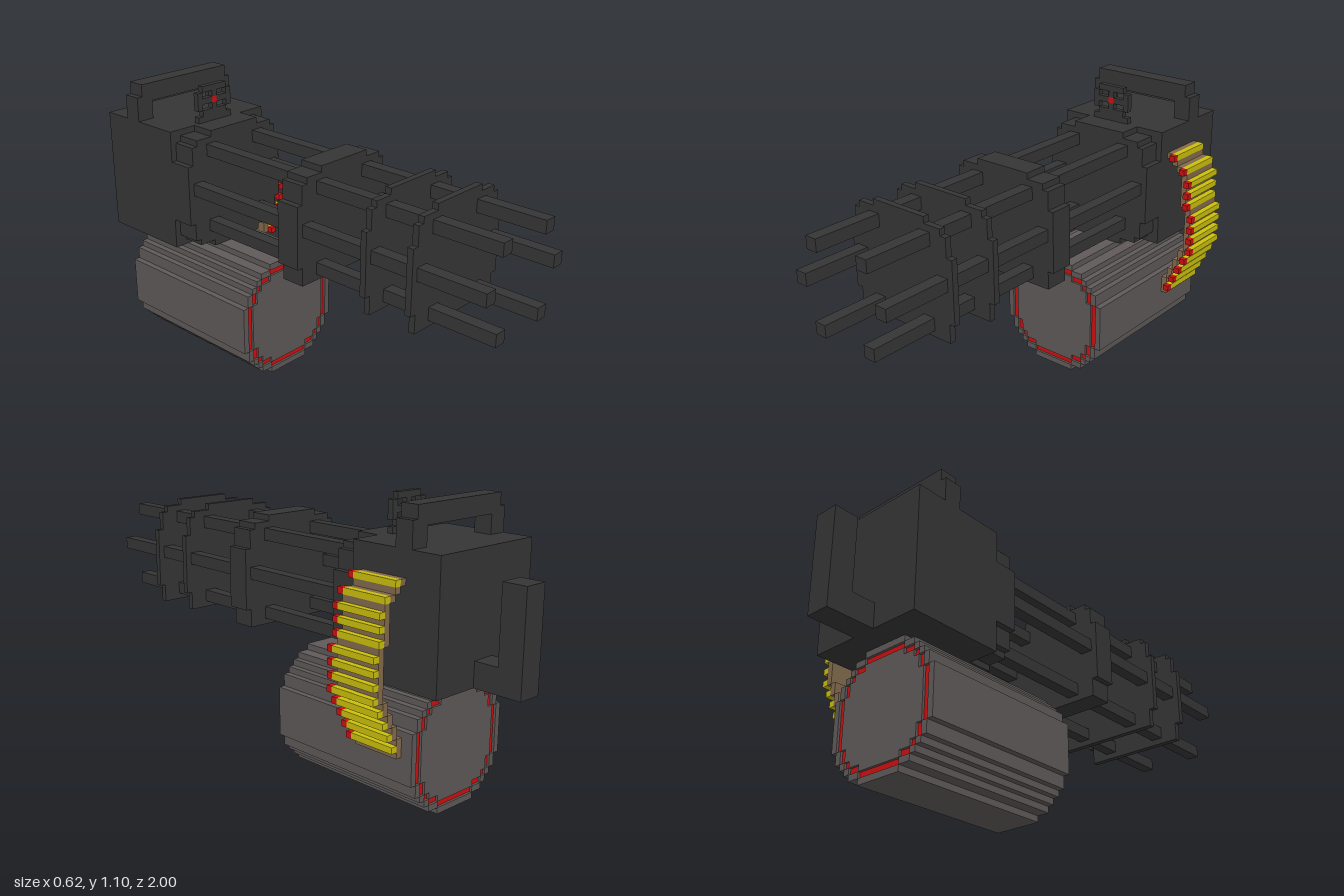
import * as THREE from 'three';

const U = 2 / 84; // one grid cell
const CX = -3;    // centre line of body, barrels and drum, in cells

const mat = (name, color) => {
  const m = new THREE.MeshStandardMaterial({ color });
  m.name = name;
  return m;
};

export function createModel() {
  const group = new THREE.Group();
  const dark = mat('gunmetal', 0x353535);
  const grey = mat('drumGrey', 0x5f5959);
  const red = mat('red', 0xcc1010);
  const yellow = mat('brassYellow', 0xcabf0c);
  const brown = mat('beltBrown', 0x82694c);

  const add = (name, geometry, material) => {
    const mesh = new THREE.Mesh(geometry, material);
    mesh.name = name;
    group.add(mesh);
    return mesh;
  };

  // Box from its lower and upper corners, in cells
  const box = (name, material, x0, x1, y0, y1, z0, z1) => {
    const g = new THREE.BoxGeometry((x1 - x0) * U, (y1 - y0) * U, (z1 - z0) * U);
    g.translate((x0 + x1) / 2 * U, (y0 + y1) / 2 * U, (z0 + z1) / 2 * U);
    return add(name, g, material);
  };

  // Stepped round outline: rows of [height, half width] stacked from y0
  const outline = (y0, rows) => {
    const right = [], left = [];
    let y = y0;
    for (const [h, w] of rows) {
      right.push([CX + w, y], [CX + w, y + h]);
      left.unshift([CX - w, y + h], [CX - w, y]);
      y += h;
    }
    return [...right, ...left].map(([x, v]) => new THREE.Vector2(x * U, v * U));
  };
  const slab = (name, material, outer, inner, z0, z1) => {
    const shape = new THREE.Shape(outer);
    if (inner) shape.holes.push(new THREE.Path(inner));
    const g = new THREE.ExtrudeGeometry(shape, { depth: (z1 - z0) * U, bevelEnabled: false });
    g.translate(0, 0, z0 * U);
    return add(name, g, material);
  };
  const mirrorRows = rows => [...rows, ...rows.slice(0, -1).reverse()];

  // Receiver with its stepped front collar
  box('receiver', dark, -13, 7, 20, 40, -34, -18);
  const collarRows = mirrorRows([[1, 5], [1, 8], [3, 9], [10, 10]]);
  slab('frontCollar', dark, outline(20, collarRows), null, -18, -14);

  // Barrel clamps, flat at the bottom
  const clamp = outline(22, collarRows.slice(2));
  for (const [z0, z1] of [[6, 10], [22, 23], [30, 31]]) slab('barrelClamp', dark, clamp, null, z0, z1);

  // Six square barrels
  for (const [offset, y] of [[5, 36], [8, 30], [5, 23]])
    for (const side of [-1, 1]) {
      const x = CX + side * offset;
      box('barrel', dark, x - 1, x + 1, y, y + 2, -14, 42);
    }

  // Carry handle arch
  for (const [x0, x1] of [[-13, -10], [4, 7]]) box('handlePost', dark, x0, x1, 40, 44, -29, -26);
  box('handleBar', dark, -10, 4, 43, 44, -29, -26);
  box('handleTop', dark, -12, 6, 44, 46, -29, -26);

  // Window sight with a red dot in the middle
  const sightRows = ['#######', ' ##### ', '#  #  #', '###o###', '#  #  #', ' ##### '];
  sightRows.forEach((row, j) => {
    for (const run of row.matchAll(/#+|o/g)) {
      const x = -7 + run.index;
      box(run[0] === 'o' ? 'sightDot' : 'sight', run[0] === 'o' ? red : dark,
        x, x + run[0].length, 40 + j, 41 + j, -19, -18);
    }
  });

  // Rear grip
  box('gripArm', dark, -5, -1, 20, 24, -38, -34);
  box('gripUpright', dark, -5, -1, 20, 36, -42, -38);

  // Ammunition drum: core, raised rims and caps, red band in the groove between
  const drum = outline(0, mirrorRows([[1, 4], [1, 6], [1, 7], [1, 8], [2, 9], [8, 10]]));
  const bandOuter = outline(1, mirrorRows([[1, 4], [1, 6], [1, 7], [2, 8], [8, 9]]));
  const bandInner = outline(2, mirrorRows([[1, 4], [1, 6], [2, 7], [8, 8]]));
  const depth = 0.5;
  slab('drumCore', grey, drum, null, -30 + depth, -2 - depth);
  for (const [z0, z1, b0, b1] of [
    [-2 - depth, -2, -2 - depth, -2.4],
    [-30, -30 + depth, -29.6, -30 + depth],
  ]) {
    slab('drumRim', grey, drum, bandOuter, z0, z1);
    slab('drumCap', grey, bandInner, null, z0, z1);
    slab('drumBand', red, bandOuter, bandInner, b0, b1);
  }

  // Belt links as [x, bottom, top]
  const links = [[7, 35, 36], [8, 34, 35], [9, 33, 34], [10, 27, 33], [11, 19, 27],
    [10, 17, 19], [9, 15, 17], [8, 13, 15], [7, 10, 13]];
  for (const [x, y0, y1] of links) box('beltLink', brown, x, x + 1, y0, y1, -28, -20);

  // Cartridges with red tips
  [8, 10, 11, 11, 11, 12, 12, 12, 12, 11, 10, 9, 8].forEach((x, i) => {
    const y = 35 - 2 * i;
    box('cartridge', yellow, x, x + 1, y, y + 1, -28, -20);
    box('cartridgeTip', red, x, x + 1, y, y + 1, -20, -19);
  });

  return group;
}
